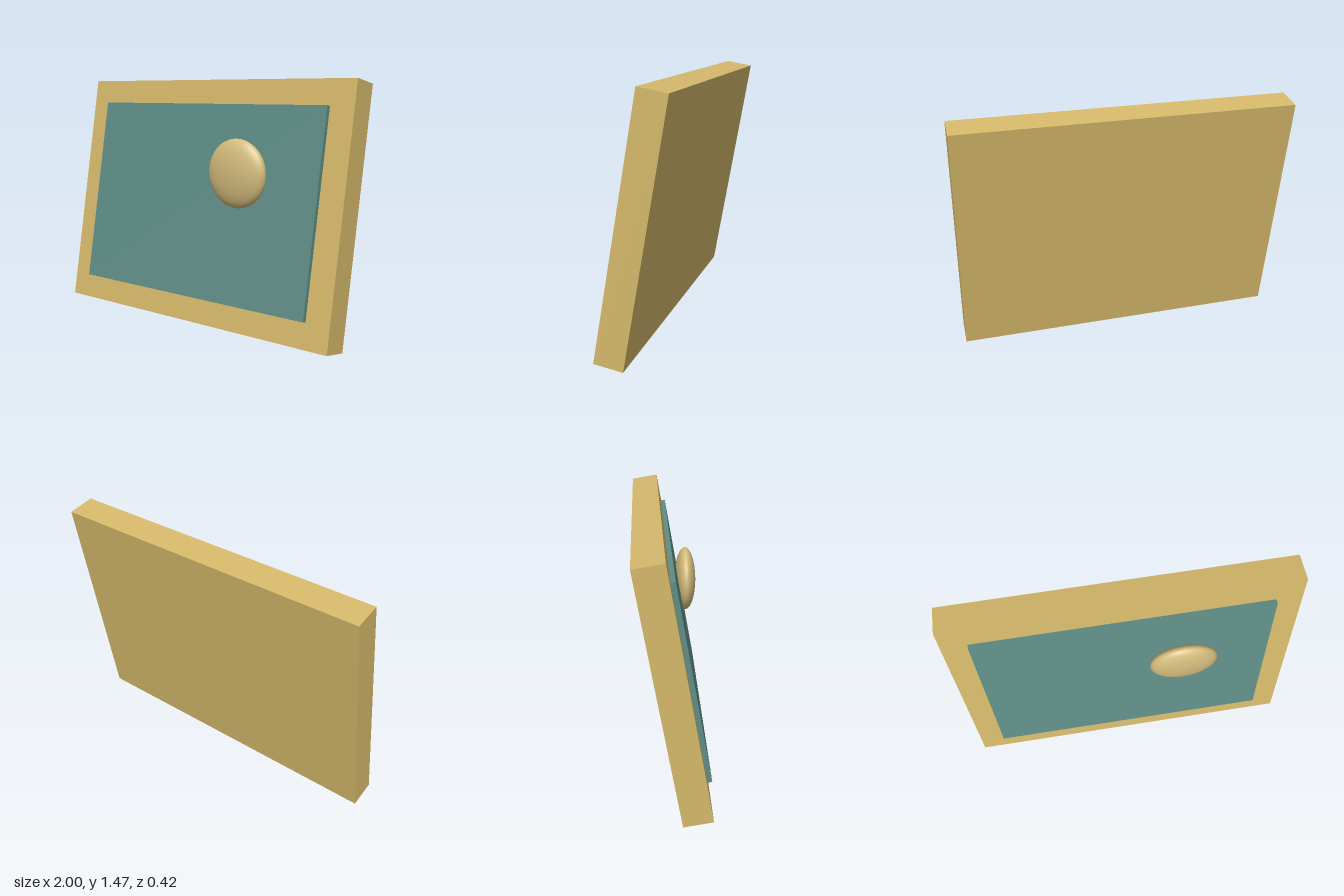
import * as THREE from 'three';

export function createModel() {
  const model = new THREE.Group();
  model.name = 'tiltedPanel';

  const material = (name, color) => {
    const m = new THREE.MeshStandardMaterial({ color });
    m.name = name;
    return m;
  };
  const gold = material('gold', 0xd4b86a);
  const teal = material('teal', 0x5f8d86);
  const paleGold = material('pale gold', 0xd4bc7c);

  const add = (parent, name, geometry, mat, x, y, z) => {
    const mesh = new THREE.Mesh(geometry, mat);
    mesh.name = name;
    mesh.position.set(x, y, z);
    parent.add(mesh);
    return mesh;
  };

  // Board and its raised face lean back together by ten degrees
  const board = new THREE.Group();
  board.name = 'leaningBoard';
  board.position.y = 0.737;
  board.rotation.x = -Math.PI / 18;
  model.add(board);
  add(board, 'backBoard', new THREE.BoxGeometry(2, 1.467, 0.167), gold, 0, 0, 0);
  add(board, 'facePanel', new THREE.BoxGeometry(1.7, 1.167, 0.034), teal, 0, 0, 0.0935);

  // Upright flattened knob, partly sunk into the face
  const knob = add(model, 'knob', new THREE.SphereGeometry(1, 32, 24), paleGold, 0.333, 0.938, 0.121);
  knob.scale.set(0.2, 0.2, 0.066);

  return model;
}
